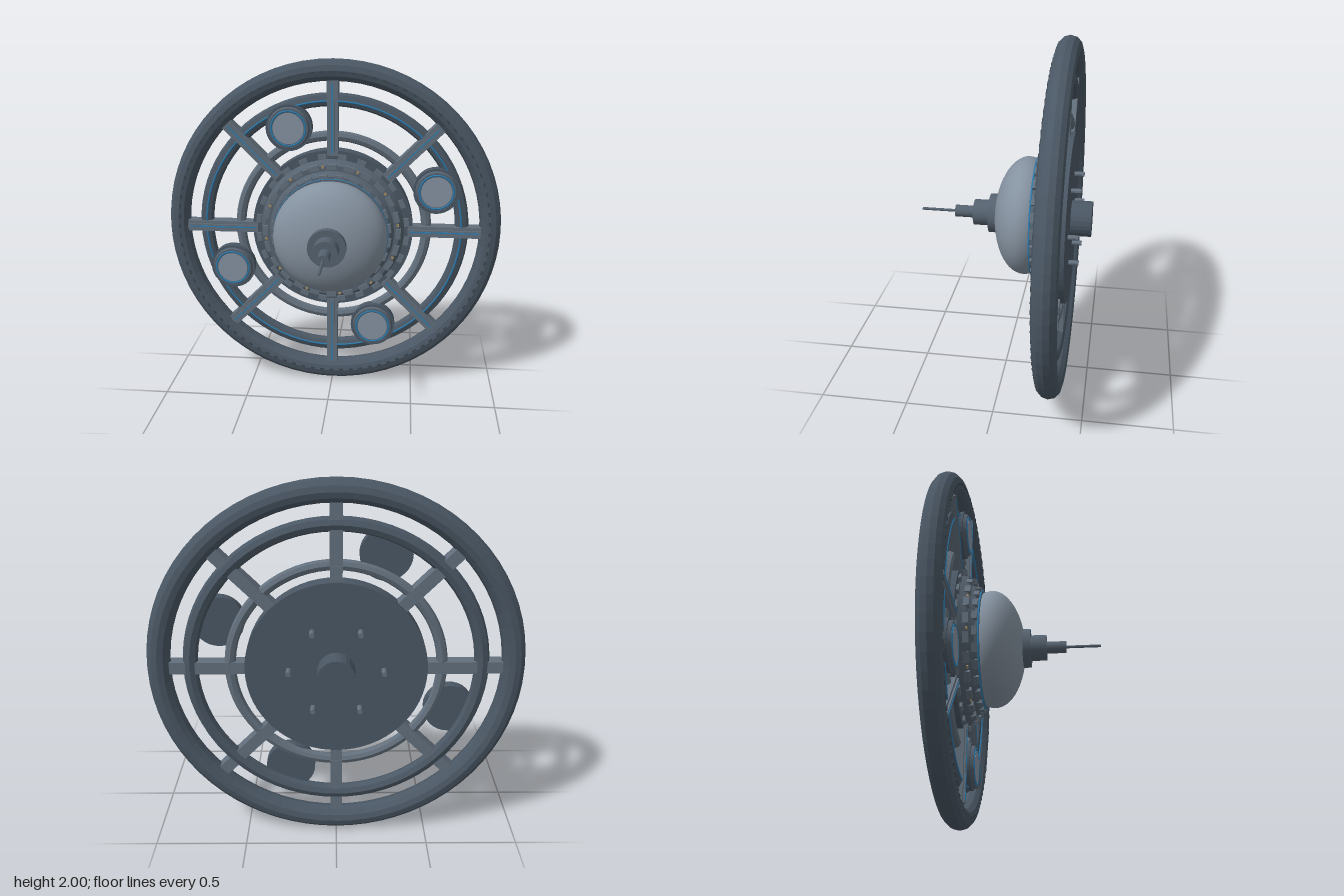
import * as THREE from 'three';

const mat = (color, flatShading = false) => new THREE.MeshStandardMaterial({ color, flatShading });
const M = {
  dark: mat(0x4a5764, true),
  mid: mat(0x626f7c, true),
  hub: mat(0x55626f),
  light: mat(0x8592a0),
  blue: mat(0x2a7fb5),
  window: mat(0x39434d),
  amber: mat(0xa08a60),
};

function add(parent, name, geo, material, x = 0, y = 0, z = 0) {
  const mesh = new THREE.Mesh(geo, material);
  mesh.name = name;
  mesh.position.set(x, y, z);
  parent.add(mesh);
  return mesh;
}

// Cylinder along z from back to front
function drum(parent, name, material, rBack, rFront, zBack, zFront, x = 0, y = 0, seg = 48) {
  const geo = new THREE.CylinderGeometry(rFront, rBack, zFront - zBack, seg).rotateX(Math.PI / 2);
  return add(parent, name, geo, material, x, y, (zBack + zFront) / 2);
}

function ring(parent, name, material, R, r, z, sides = 12) {
  return add(parent, name, new THREE.TorusGeometry(R, r, sides, 72), material, 0, 0, z);
}

// Boxes evenly placed round the axis; size is [radial, tangential, depth]
function boxRing(parent, name, material, count, radius, size, z, offset = 0) {
  const group = new THREE.Group();
  group.name = name;
  const geo = new THREE.BoxGeometry(...size);
  for (let i = 0; i < count; i++) {
    const a = ((i + offset) / count) * Math.PI * 2;
    add(group, name + 'Block', geo, material, radius * Math.cos(a), radius * Math.sin(a), z).rotation.z = a;
  }
  parent.add(group);
}

export function createModel() {
  const model = new THREE.Group();
  model.name = 'spaceStation';
  const s = new THREE.Group();
  s.name = 'station';
  s.position.y = 1;
  model.add(s);
  const ZC = -0.318;

  // Three concentric rings
  ring(s, 'outerRing', M.dark, 0.937, 0.063, ZC);
  ring(s, 'middleRing', M.dark, 0.77, 0.04, ZC, 8);
  ring(s, 'middleRingLight', M.blue, 0.765, 0.005, ZC + 0.04, 6);
  ring(s, 'innerRing', M.mid, 0.56, 0.03, ZC, 8);
  boxRing(s, 'outerRingWindows', M.window, 96, 0.93, [0.01, 0.025, 0.006], ZC + 0.062);

  // Eight spokes with a raised rib and a light strip
  boxRing(s, 'spokes', M.mid, 8, 0.665, [0.43, 0.065, 0.075], ZC + 0.008);
  boxRing(s, 'spokeRibs', M.mid, 8, 0.665, [0.43, 0.028, 0.012], ZC + 0.049);
  boxRing(s, 'spokeLights', M.blue, 8, 0.665, [0.4, 0.007, 0.006], ZC + 0.055);

  // Stepped hub
  drum(s, 'hubDisc', M.dark, 0.48, 0.48, -0.37, -0.278, 0, 0, 64);
  drum(s, 'hubLowerStep', M.hub, 0.43, 0.4, -0.28, -0.225, 0, 0, 64);
  drum(s, 'hubUpperStep', M.hub, 0.37, 0.345, -0.225, -0.19, 0, 0, 64);
  drum(s, 'domeCollar', M.hub, 0.335, 0.335, -0.19, -0.165, 0, 0, 64);
  ring(s, 'domeLight', M.blue, 0.333, 0.005, -0.17, 6);
  boxRing(s, 'hubOuterBlocks', M.mid, 24, 0.395, [0.03, 0.06, 0.035], -0.23);
  boxRing(s, 'hubInnerBlocks', M.mid, 24, 0.343, [0.025, 0.05, 0.03], -0.19, 0.5);
  boxRing(s, 'hubFlangeBlocks', M.mid, 24, 0.445, [0.03, 0.05, 0.02], -0.274, 0.5);
  boxRing(s, 'hubWindows', M.amber, 12, 0.395, [0.015, 0.015, 0.01], -0.224, 0.25);

  // Dome and stepped antenna
  const dome = add(s, 'dome', new THREE.SphereGeometry(0.333, 40, 28).rotateX(Math.PI / 2), M.light, 0, 0, -0.12);
  dome.scale.z = 0.535;
  drum(s, 'antennaBase', M.hub, 0.11, 0.11, 0.03, 0.09, 0, 0, 32);
  drum(s, 'antennaHousing', M.hub, 0.073, 0.073, 0.08, 0.18, 0, 0, 24);
  drum(s, 'antennaNeck', M.hub, 0.034, 0.034, 0.17, 0.29, 0, 0, 20);
  drum(s, 'antennaRod', M.hub, 0.008, 0.008, 0.28, 0.485, 0, 0, 10);

  // Four round pods on the middle ring
  for (let i = 0; i < 4; i++) {
    const a = Math.PI / 8 + (i * Math.PI) / 2;
    const pod = new THREE.Group();
    pod.name = 'pod';
    pod.position.set(0.66 * Math.cos(a), 0.66 * Math.sin(a), 0);
    s.add(pod);
    drum(pod, 'podBody', M.dark, 0.135, 0.135, -0.32, -0.262, 0, 0, 32);
    drum(pod, 'podRim', M.hub, 0.122, 0.115, -0.262, -0.243, 0, 0, 32);
    drum(pod, 'podCap', M.light, 0.09, 0.09, -0.25, -0.238, 0, 0, 32);
    add(pod, 'podLight', new THREE.TorusGeometry(0.1, 0.005, 6, 32), M.blue, 0, 0, -0.242);
  }

  // Rear engine drum and six pins
  drum(s, 'rearDrum', M.dark, 0.1, 0.1, -0.485, -0.36, 0, 0, 24);
  for (let i = 0; i < 6; i++) {
    const a = (i * Math.PI) / 3;
    drum(s, 'rearPin', M.mid, 0.014, 0.014, -0.427, -0.36, 0.25 * Math.cos(a), 0.25 * Math.sin(a), 10);
  }
  return model;
}
